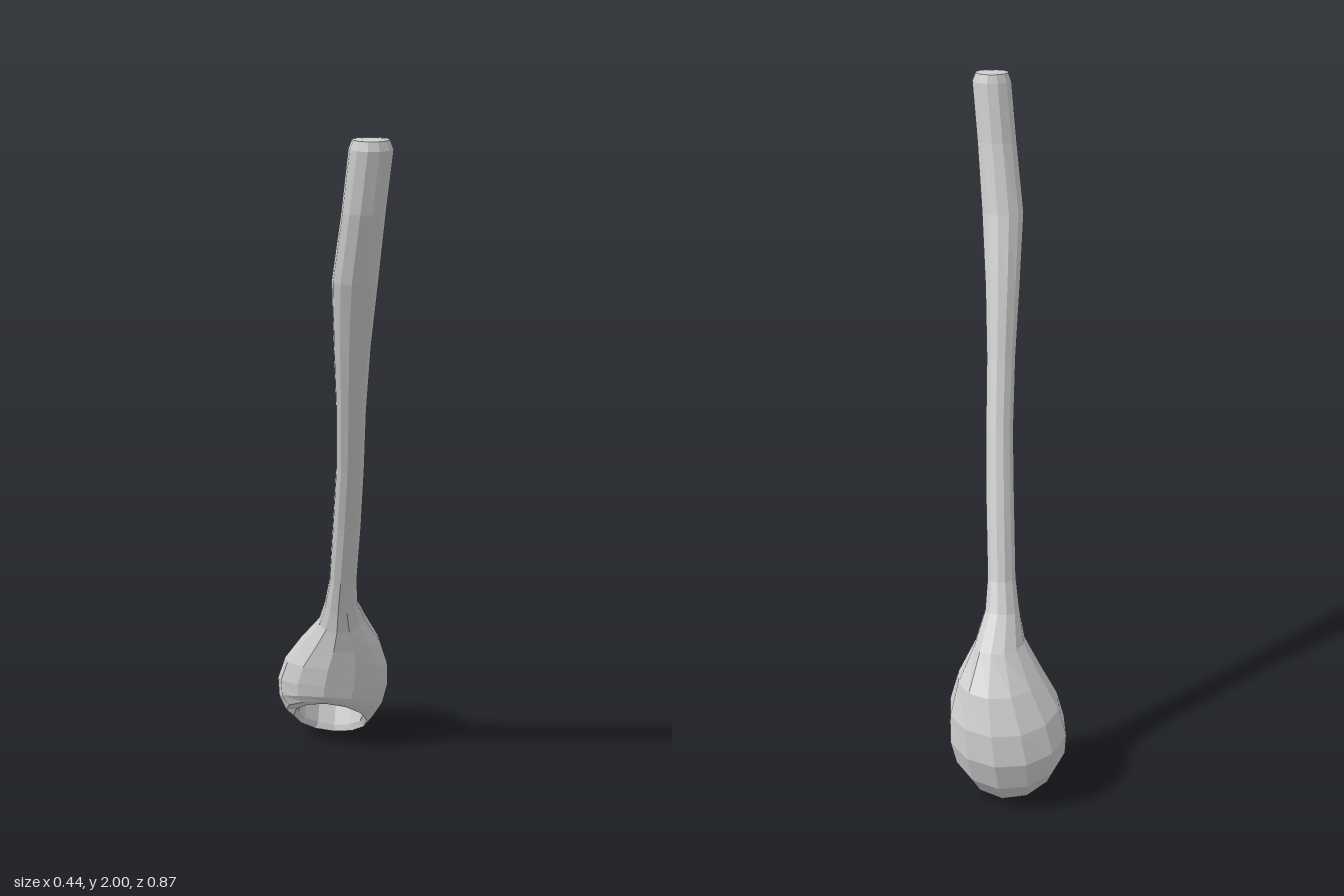
import * as THREE from 'three';

const SIDES = 12;

// Section: [xLeft, xRight, yFront, zFront, yBack, zBack] -> ring of points
function ring([x0, x1, yf, zf, yb, zb]) {
  const points = [];
  for (let j = 0; j < SIDES; j++) {
    const a = (j / SIDES) * Math.PI * 2;
    const c = Math.cos(a) / 2, s = Math.sin(a) / 2;
    points.push(new THREE.Vector3(
      (x0 + x1) / 2 + c * (x1 - x0),
      (yf + yb) / 2 + s * (yf - yb),
      (zf + zb) / 2 + s * (zf - zb)));
  }
  return points;
}

// Skin through the sections, in order from top to bottom
function loft(name, sections, material) {
  const rings = sections.map(ring);
  const points = [];
  const add = (a, b, c) => {
    const area = b.clone().sub(a).cross(c.clone().sub(a)).length();
    if (area > 1e-9) points.push(a, b, c);
  };
  for (let i = 0; i < rings.length - 1; i++) {
    for (let j = 0; j < SIDES; j++) {
      const k = (j + 1) % SIDES;
      const a = rings[i][j], b = rings[i][k], c = rings[i + 1][j], d = rings[i + 1][k];
      add(a, b, c);
      add(b, d, c);
    }
  }
  const geometry = new THREE.BufferGeometry().setFromPoints(points);
  geometry.computeVertexNormals(); // unshared corners give flat facets
  const mesh = new THREE.Mesh(geometry, material);
  mesh.name = name;
  return mesh;
}

export function createModel() {
  const grey = new THREE.MeshStandardMaterial({ color: 0xcccccc });
  grey.name = 'plain grey';

  const neck = [-0.048, 0.055, 0.5, -0.08, 0.52, -0.205];
  const rim = [-0.165, 0.07, 0.165, -0.165, 0, -0.33];

  // Curved, leaning handle with a closed end
  const handle = [
    [0.16, 0.16, 2, 0.38, 2, 0.38],
    [0.11, 0.21, 1.995, 0.43, 1.995, 0.33],
    [0.1, 0.22, 1.97, 0.437, 1.97, 0.32],
    [0.077, 0.197, 1.8, 0.41, 1.8, 0.285],
    [0.042, 0.17, 1.6, 0.35, 1.6, 0.23],
    [0.035, 0.14, 1.4, 0.27, 1.4, 0.155],
    [0.03, 0.117, 1.2, 0.185, 1.2, 0.085],
    [0.017, 0.1, 1, 0.1, 1, 0.005],
    [-0.005, 0.08, 0.8, 0.02, 0.8, -0.075],
    [-0.027, 0.057, 0.6, -0.05, 0.6, -0.155],
    neck,
  ];

  // Rounded bulb, its sections tilting towards the opening
  const bowl = [
    neck,
    [-0.075, 0.07, 0.43, -0.095, 0.44, -0.31],
    [-0.14, 0.11, 0.36, -0.107, 0.34, -0.39],
    [-0.195, 0.13, 0.3, -0.115, 0.24, -0.428],
    [-0.22, 0.13, 0.24, -0.125, 0.15, -0.437],
    [-0.215, 0.115, 0.2, -0.133, 0.07, -0.415],
    [-0.19, 0.09, 0.178, -0.147, 0.015, -0.37],
    rim,
  ];

  // Hollow running back up inside the bulb
  const cavity = [
    rim,
    [-0.15, 0.055, 0.17, -0.18, 0.02, -0.335],
    [-0.15, 0.055, 0.22, -0.2, 0.09, -0.37],
    [-0.11, 0.02, 0.24, -0.25, 0.17, -0.35],
    [-0.045, -0.045, 0.23, -0.3, 0.23, -0.3],
  ];

  const group = new THREE.Group();
  group.name = 'hollowEndedStick';
  group.add(
    loft('handle', handle, grey),
    loft('bowl', bowl, grey),
    loft('cavity', cavity, grey));
  return group;
}
